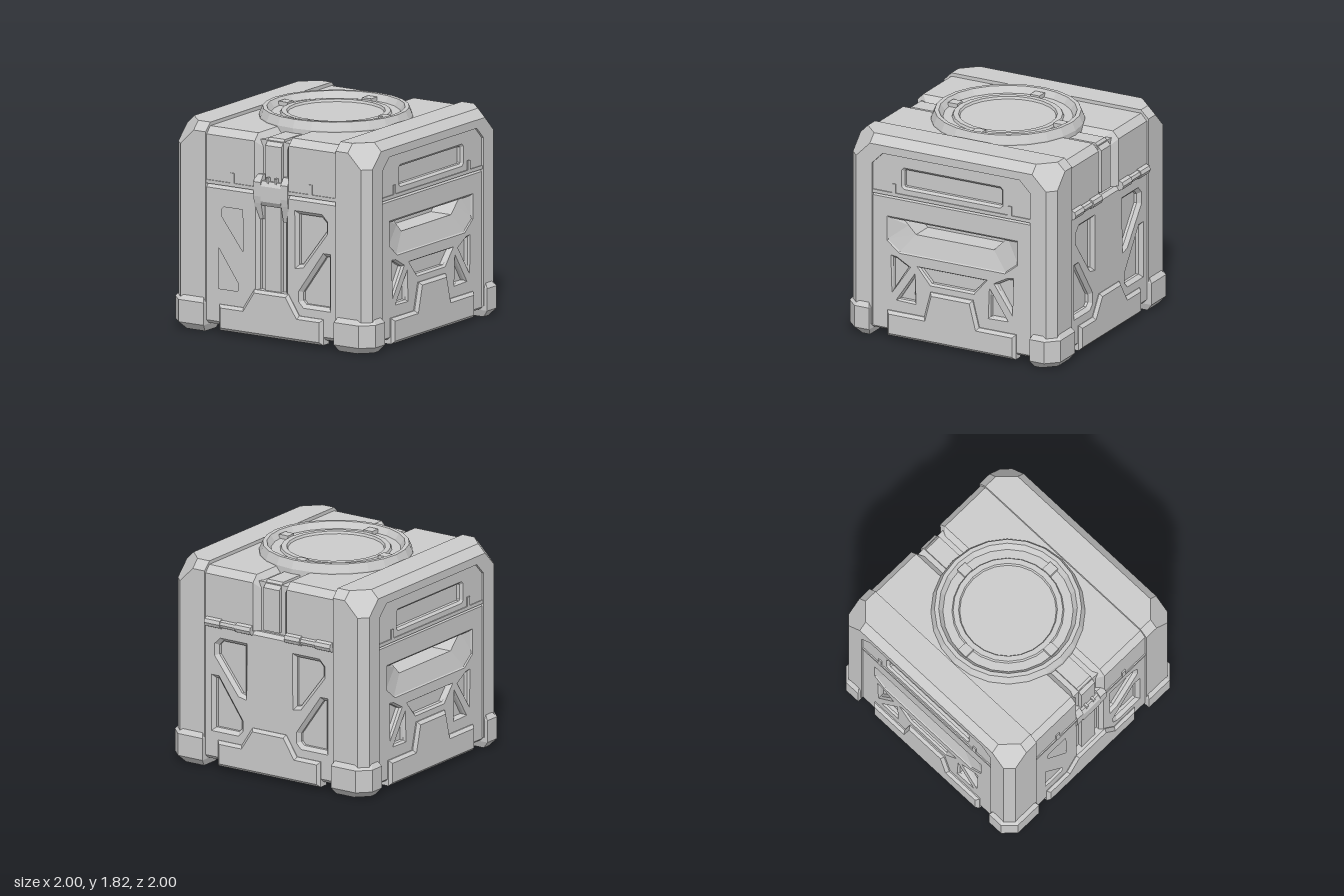
import * as THREE from 'three';
import { ConvexGeometry } from 'three/addons/geometries/ConvexGeometry.js';

const grey = new THREE.MeshStandardMaterial({ color: 0xcccccc, flatShading: true });
const thin = new THREE.MeshStandardMaterial({ color: 0xcccccc, flatShading: true, side: THREE.DoubleSide });
const mirrorX = pts => pts.map(([x, y]) => [-x, y]);
const rect = (x0, x1, y0, y1) => [[x0, y0], [x1, y0], [x1, y1], [x0, y1]];
const path = (C, pts) => new C(pts.map(p => new THREE.Vector2(...p)));

export function createModel() {
  const model = new THREE.Group();

  const add = (parent, name, geo, mat = grey) => {
    const m = new THREE.Mesh(geo, mat);
    m.name = name;
    parent.add(m);
    return m;
  };
  const box = (parent, name, w, h, d, x, y, z) =>
    add(parent, name, new THREE.BoxGeometry(w, h, d)).position.set(x, y, z);
  // Convex solid, mirrored by sx / sz
  const hull = (parent, name, pts, sx = 1, sz = 1) =>
    add(parent, name, new ConvexGeometry(pts.map(([x, y, z]) => new THREE.Vector3(x * sx, y, z * sz))));
  // Prism along x from a (z, y) section
  const prism = (parent, name, x0, x1, section, sx = 1, sz = 1) =>
    hull(parent, name, [x0, x1].flatMap(x => section.map(([z, y]) => [x, y, z])), sx, sz);
  // Plate whose front face lies at z = front, with sloped edges and windows
  const panel = (parent, name, outline, holes, front, depth, bevel) => {
    const shape = path(THREE.Shape, outline);
    shape.holes = holes.map(h => path(THREE.Path, h));
    const geo = new THREE.ExtrudeGeometry(shape, {
      depth, bevelEnabled: bevel > 0, bevelThickness: bevel, bevelSize: bevel, bevelOffset: -bevel, bevelSegments: 1
    });
    geo.translate(0, 0, front - depth - bevel);
    add(parent, name, geo);
  };

  // Inner body
  box(model, 'core', 1.4, 1.62, 1.8, 0, 0.88, 0);

  // Corner posts, top beams and feet
  for (const sx of [1, -1]) {
    for (const sz of [1, -1]) {
      hull(model, 'cornerPost', [
        ...[0.1, 1.57].flatMap(y => [[0.65, y, 0.75], [0.97, y, 0.75], [0.97, y, 0.9], [0.9, y, 0.97], [0.65, y, 0.97]]),
        [0.97, 1.7, 0.75], [0.97, 1.7, 0.77], [0.77, 1.7, 0.97], [0.65, 1.7, 0.97],
        [0.65, 1.77, 0.75], [0.9, 1.77, 0.75], [0.9, 1.77, 0.77], [0.77, 1.77, 0.9], [0.65, 1.77, 0.9]
      ], sx, sz);
      prism(model, 'frameGusset', 0.65, 0.97, [[0.76, 1.53], [0.75, 1.53], [0.65, 1.63], [0.65, 1.64], [0.76, 1.64]], sx, sz);
      const foot = (y, i) => {
        const o = 1 - i, c = 0.1, e = Math.min(i, 0.02);
        return [[0.65 + e, y, 0.76 + e], [o, y, 0.76 + e], [o, y, o - c], [o - c, y, o], [0.65 + e, y, o]];
      };
      hull(model, 'foot', [...foot(0, 0.05), ...foot(0.06, 0), ...foot(0.25, 0), ...foot(0.29, 0.03)], sx, sz);
    }
    hull(model, 'topBeam', [-0.76, 0.76].flatMap(z =>
      [[0.65, 1.63, z], [0.97, 1.63, z], [0.97, 1.7, z], [0.9, 1.77, z], [0.65, 1.77, z]]), sx);
  }

  // Lid halves either side of the centre groove, and the strap in it
  const lidSection = (z, y, low) => [[z, low], [z, y - 0.06], [z - 0.055, y], [0.055 - z, y], [-z, y - 0.06], [-z, low]];
  for (const sx of [1, -1]) {
    hull(model, 'lidHalf', [
      ...lidSection(0.955, 1.74, 1.262).flatMap(([z, y]) => [[0.17, y, z], [0.66, y, z]]),
      ...lidSection(0.9, 1.685, 1.262).map(([z, y]) => [0.12, y, z])
    ], sx);
  }
  prism(model, 'lidStrap', -0.08, 0.08, lidSection(0.93, 1.71, 1.28));
  box(model, 'bodyStrap', 0.16, 0.85, 0.06, 0, 0.83, 0.905);

  // Diagonal windows of front and back
  const windows = [
    [[0.26, 0.68], [0.3, 0.69], [0.53, 0.99], [0.53, 1.07], [0.49, 1.11], [0.26, 1.11]],
    [[0.56, 0.78], [0.53, 0.78], [0.3, 0.45], [0.3, 0.38], [0.33, 0.35], [0.56, 0.35]]
  ];
  const endBumper = [[-0.52, 0.03], [0.52, 0.03], [0.52, 0.25], [0.28, 0.25], [0.17, 0.42],
    [-0.17, 0.42], [-0.28, 0.25], [-0.52, 0.25]];
  const front = new THREE.Group(), back = new THREE.Group();
  front.name = 'front';
  back.name = 'back';
  back.rotation.y = Math.PI;
  model.add(front, back);
  const half = rect(0.13, 0.69, 0.07, 1.26);
  panel(front, 'frontPanelLeft', half, windows, 0.955, 0.05, 0.03);
  panel(front, 'frontPanelRight', mirrorX(half), windows.map(mirrorX), 0.955, 0.05, 0.03);
  panel(back, 'backPanel', rect(-0.69, 0.69, 0.07, 1.26), [...windows, ...windows.map(mirrorX)], 0.955, 0.05, 0.03);
  for (const g of [front, back]) panel(g, 'bumper', endBumper, [], 0.985, 0.08, 0.025);
  for (const s of [1, -1]) {
    box(front, 'lidLip', 0.48, 0.03, 0.04, s * 0.41, 1.28, 0.945);
    box(front, 'lidTab', 0.04, 0.09, 0.04, s * 0.39, 1.335, 0.945);
  }

  // Latch
  for (const s of [1, -1]) {
    prism(model, 'latchArm', 0.1, 0.17,
      [[0.88, 1.02], [0.93, 1.02], [0.965, 1.16], [0.975, 1.22], [0.975, 1.34], [0.93, 1.4], [0.88, 1.4]], s);
    box(model, 'latchHook', 0.02, 0.05, 0.04, s * 0.04, 1.36, 0.945);
  }
  prism(model, 'latchBlock', -0.1, 0.1, [[0.88, 1.14], [0.95, 1.14], [0.975, 1.18], [0.975, 1.31], [0.95, 1.35], [0.88, 1.35]]);

  // Hinges: alternating thick and thin knuckles
  for (const s of [1, -1]) {
    [0.25, 0.41, 0.56].forEach((x, i) => {
      const r = i === 1 ? 0.034 : 0.043;
      const k = add(model, 'hingeKnuckle', new THREE.CylinderGeometry(r, r, 0.155, 8));
      k.rotation.z = Math.PI / 2;
      k.position.set(s * x, 1.265, -0.957);
    });
  }

  // Side panels with handle recess and truss windows
  const trayOuter = [[-0.62, 1.07], [-0.62, 0.87], [-0.51, 0.77], [0.51, 0.77], [0.62, 0.87], [0.62, 1.07]];
  const trayInner = [[-0.5, 1.07], [-0.44, 1.01], [-0.37, 0.94], [0.37, 0.94], [0.44, 1.01], [0.5, 1.07]];
  const pocket = [[-0.5, 1.07], [-0.37, 0.94], [0.37, 0.94], [0.5, 1.07]];
  const upperTriangle = [[0.565, 0.72], [0.53, 0.715], [0.42, 0.655], [0.565, 0.43]];
  const lowerTriangle = [[0.36, 0.59], [0.36, 0.36], [0.51, 0.36]];
  const sideBumper = [[-0.61, 0.03], [0.61, 0.03], [0.61, 0.25], [0.26, 0.25], [0.2, 0.48],
    [-0.2, 0.48], [-0.26, 0.25], [-0.61, 0.25]];
  for (const s of [1, -1]) {
    const side = new THREE.Group();
    side.name = s > 0 ? 'leftSide' : 'rightSide';
    side.rotation.y = s * Math.PI / 2;
    model.add(side);
    panel(side, 'sideBacking', rect(-0.78, 0.78, 0.07, 1.66), [pocket], 0.9, 0.2, 0);
    panel(side, 'sidePanel', rect(-0.78, 0.78, 0.07, 1.26), [
      trayOuter.map(([x, y]) => [x * 0.97, y < 0.8 ? y + 0.015 : y > 1 ? y - 0.01 : y]),
      upperTriangle, mirrorX(upperTriangle), lowerTriangle, mirrorX(lowerTriangle),
      [[-0.31, 0.67], [-0.2, 0.55], [0.2, 0.55], [0.31, 0.67]]
    ], 0.95, 0.04, 0.018);
    panel(side, 'sideLid', rect(-0.78, 0.78, 1.262, 1.67), [
      [[-0.45, 1.36], [0.45, 1.36], [0.46, 1.37], [0.46, 1.5], [0.45, 1.51], [-0.45, 1.51], [-0.46, 1.5], [-0.46, 1.37]]
    ], 0.95, 0.04, 0.02);
    panel(side, 'bumper', sideBumper, [], 0.985, 0.08, 0.025);
    box(side, 'lidLip', 1.5, 0.03, 0.04, 0, 1.28, 0.94);
    for (const t of [1, -1]) box(side, 'lidTab', 0.035, 0.09, 0.04, t * 0.55, 1.33, 0.94);

    // Sloped tray between the recess rim and the pocket mouth
    const pos = [], index = [];
    trayOuter.forEach(([x, y], i) => {
      pos.push(x, y, 0.942, ...trayInner[i], 0.902);
      if (i < 5) index.push(2 * i, 2 * i + 2, 2 * i + 3, 2 * i, 2 * i + 3, 2 * i + 1);
    });
    const tray = new THREE.BufferGeometry();
    tray.setAttribute('position', new THREE.Float32BufferAttribute(pos, 3));
    tray.setIndex(index);
    tray.computeVertexNormals();
    add(side, 'handleTray', tray, thin);
  }

  // Round hatch on the lid
  const profile = [[0.64, 1.68], [0.64, 1.75], [0.61, 1.82], [0.575, 1.82], [0.54, 1.765], [0.465, 1.765],
    [0.455, 1.785], [0.41, 1.785], [0.4, 1.765], [0, 1.765]];
  add(model, 'hatch', new THREE.LatheGeometry(profile.map(p => new THREE.Vector2(...p)), 24), thin);
  for (let i = 0; i < 4; i++) {
    const a = i * Math.PI / 2;
    box(model, 'hatchTab', 0.09, 0.05, 0.09, Math.cos(a) * 0.5, 1.775, Math.sin(a) * 0.5);
  }
  return model;
}
